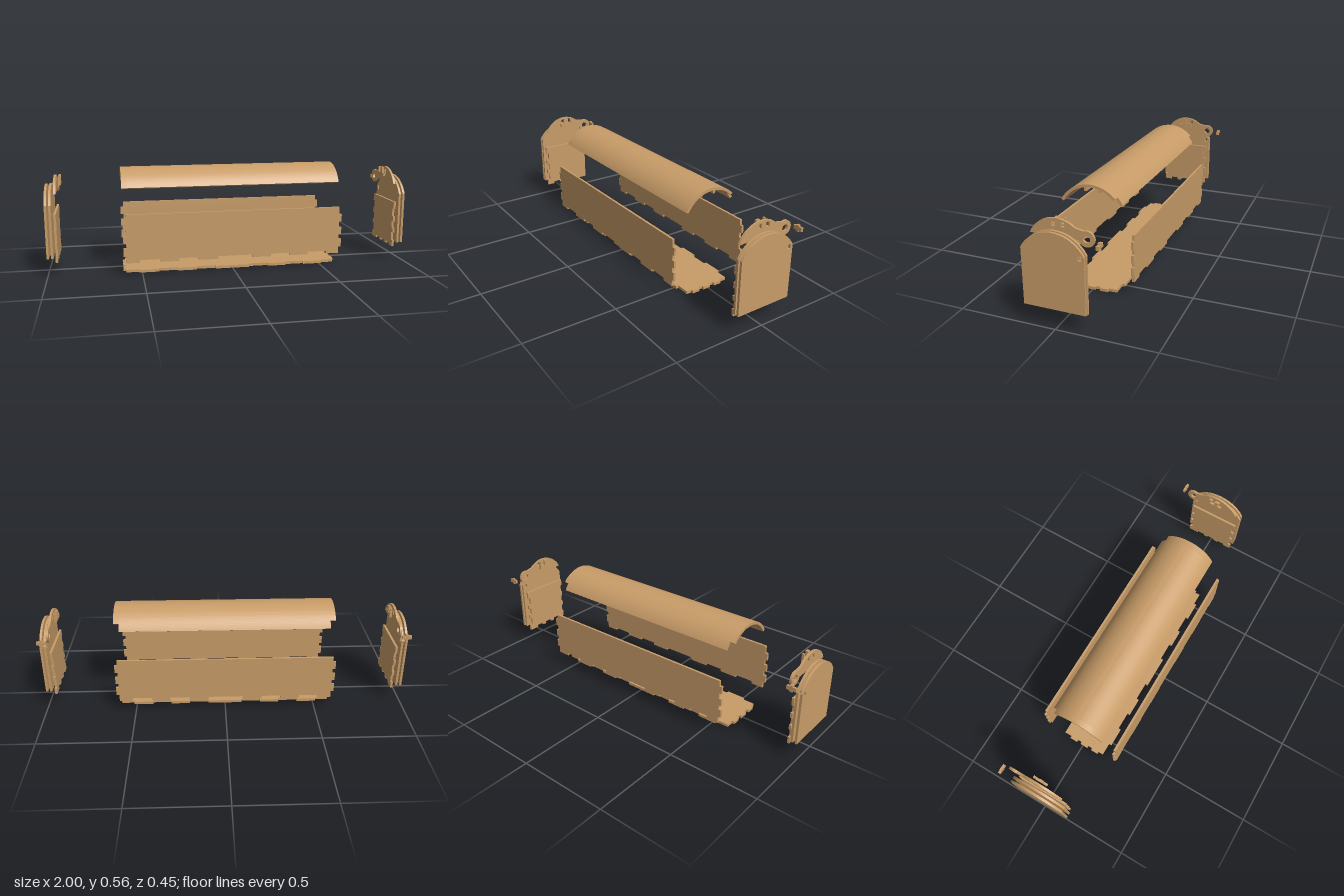
import * as THREE from 'three';
import { toCreasedNormals } from 'three/addons/utils/BufferGeometryUtils.js';

const T = 0.0125; // sheet thickness
const X_CUTS = [-0.516, -0.409, -0.305, -0.2, -0.094, 0.094, 0.2, 0.305, 0.409, 0.516];
const Y_CUTS = [0.115, 0.16, 0.186, 0.226, 0.256, 0.299];
const Z_CUTS = [-0.085, -0.04, -0.015, 0.03, 0.056, 0.099];

export function createModel() {
  const model = new THREE.Group();
  const wood = new THREE.MeshStandardMaterial({ color: 0xc89c68 });
  wood.name = 'plywood';

  const add = (parent, name, geometry) => {
    const mesh = new THREE.Mesh(geometry, wood);
    mesh.name = name;
    parent.add(mesh);
    return mesh;
  };
  const shapeOf = (pts) => new THREE.Shape(pts.map(([a, b]) => new THREE.Vector2(a, b)));
  const rectHole = (shape, a0, a1, b0, b1) =>
    shape.holes.push(new THREE.Path([[a0, b0], [a0, b1], [a1, b1], [a1, b0]].map((p) => new THREE.Vector2(...p))));
  const extrude = (shape, depth) => toCreasedNormals(
    new THREE.ExtrudeGeometry(shape, { depth, bevelEnabled: false, curveSegments: 32 }).translate(0, 0, -depth / 2), 0.5);
  // Sheet drawn in (z, y), centred at x
  const sheetX = (shape, x, depth = T) => extrude(shape, depth).rotateY(-Math.PI / 2).translate(x, 0, 0);

  // Finger-joint edge: [position, level] pairs switching level at each cut
  const fingers = (cuts, first, second) => cuts.flatMap((c, i) =>
    i % 2 ? [[c, second], [c, first]] : [[c, first], [c, second]]);
  // Arc points around (0, cy), angles in degrees
  const arc = (cy, r, a0, a1, n = 40) => Array.from({ length: n + 1 }, (_, i) => {
    const a = THREE.MathUtils.degToRad(a0 + ((a1 - a0) * i) / n);
    return [r * Math.cos(a), cy + r * Math.sin(a)];
  });

  // Floor with fingers on all four edges
  const zSide = fingers(X_CUTS, 0.128, 0.143);
  const xSide = fingers(Z_CUTS, 0.587, 0.6);
  const floor = shapeOf([
    [-0.587, -0.128], ...zSide.map(([x, z]) => [x, -z]), [0.587, -0.128],
    ...xSide.map(([z, x]) => [x, z]), [0.587, 0.128],
    ...zSide.slice().reverse(), [-0.587, 0.128],
    ...xSide.slice().reverse().map(([z, x]) => [-x, z]),
  ]);
  add(model, 'floorPanel', extrude(floor, 0.015).rotateX(Math.PI / 2).translate(0, 0.0075, 0));

  // Long front and back walls
  const wall = (name, top, bottom, z) => {
    const side = fingers(Y_CUTS, 0.585, 0.6);
    const shape = shapeOf([
      [-0.585, bottom], ...fingers(X_CUTS, bottom, bottom + 0.015), [0.585, bottom],
      ...side.map(([y, x]) => [x, y]), [0.585, top], [-0.585, top],
      ...side.slice().reverse().map(([y, x]) => [-x, y]),
    ]);
    add(model, name, extrude(shape, T).translate(0, 0, z));
  };
  wall('frontWall', 0.34, 0.078, 0.217);
  wall('backWall', 0.328, 0.076, -0.216);

  // Curved lid, notched at its back corners
  const lid = new THREE.Group();
  lid.name = 'lid';
  model.add(lid);
  const shell = (backAngle) => shapeOf([
    ...arc(0.3865, 0.1765, 28, backAngle), ...arc(0.3865, 0.162, backAngle, 28)]);
  add(lid, 'lidShell', sheetX(shell(152), 0, 1.14));
  for (const s of [-1, 1]) add(lid, 'lidShellEnd', sheetX(shell(137.5), s * 0.585, 0.03));

  // Rails and cross ribs under the lid
  for (const z of [0.04, -0.037]) {
    add(lid, 'lidRail', new THREE.BoxGeometry(1.14, 0.027, 0.014).translate(0, 0.529, z));
  }
  const rib = shapeOf([[0.124, 0.469], ...arc(0.3865, 0.1505, 36, 144), [-0.124, 0.469]]);
  for (const x of [-0.3, 0.3]) add(lid, 'lidRib', sheetX(rib, x));

  // Both ends of the box
  for (const s of [-1, 1]) {
    const end = new THREE.Group();
    end.name = s > 0 ? 'leftEnd' : 'rightEnd';
    model.add(end);

    // Two arched cheeks with a square hinge hole
    const arch = shapeOf([[-0.156, 0.103], [0.154, 0.103], ...arc(0.303, 0.1765, 29, 152)]);
    rectHole(arch, -0.142, -0.125, 0.368, 0.392);
    add(end, 'outerCheek', sheetX(arch, s * 0.9937));
    add(end, 'middleCheek', sheetX(arch, s * 0.9712));

    // Inner wall with fingers on three edges
    const side = fingers(Y_CUTS, 0.143, 0.128);
    const inner = shapeOf([
      [-0.143, 0.078], ...fingers(Z_CUTS, 0.078, 0.092), [0.143, 0.078],
      ...side.map(([y, z]) => [z, y]), [0.143, 0.34], [-0.143, 0.34],
      ...side.slice().reverse().map(([y, z]) => [-z, y]),
    ]);
    add(end, 'innerEndWall', sheetX(inner, s * 0.9485));

    // Lid end with a hinge eye
    const eyeZ = -0.147, eyeY = 0.452;
    const eye = Array.from({ length: 33 }, (_, i) => {
      const a = THREE.MathUtils.degToRad(68 + (270 * i) / 32);
      return [eyeZ + 0.038 * Math.cos(a), eyeY + 0.038 * Math.sin(a)];
    });
    const lidEnd = shapeOf([[0.13, 0.443], ...arc(0.3865, 0.142, 25, 130), ...eye, [-0.108, 0.443]]);
    const eyeHole = new THREE.Path();
    eyeHole.absarc(eyeZ, eyeY, 0.017, 0, Math.PI * 2, true);
    lidEnd.holes.push(eyeHole);
    rectHole(lidEnd, 0.004, 0.022, 0.491, 0.515);
    rectHole(lidEnd, -0.044, -0.026, 0.491, 0.515);
    add(end, 'lidEnd', sheetX(lidEnd, s * 0.945));

    // Small two-pronged clip
    const clip = shapeOf([
      [-0.04, 0.475], [0.036, 0.475], [0.036, 0.492], [0.015, 0.492], [0.015, 0.525],
      [-0.005, 0.525], [-0.005, 0.495], [-0.031, 0.495], [-0.031, 0.525], [-0.04, 0.525]]);
    add(end, 'lidClip', sheetX(clip, s * 0.923));

    // Cross-shaped hinge pin
    const pin = shapeOf([
      [0.945, 0.43], [0.962, 0.43], [0.962, 0.423], [0.977, 0.423], [0.977, 0.43], [0.995, 0.43],
      [0.995, 0.45], [0.977, 0.45], [0.977, 0.457], [0.962, 0.457], [0.962, 0.45], [0.945, 0.45]]
      .map(([x, y]) => [s * x, y]));
    add(end, 'hingePin', extrude(pin, T).translate(0, 0, -0.216));
  }
  return model;
}
